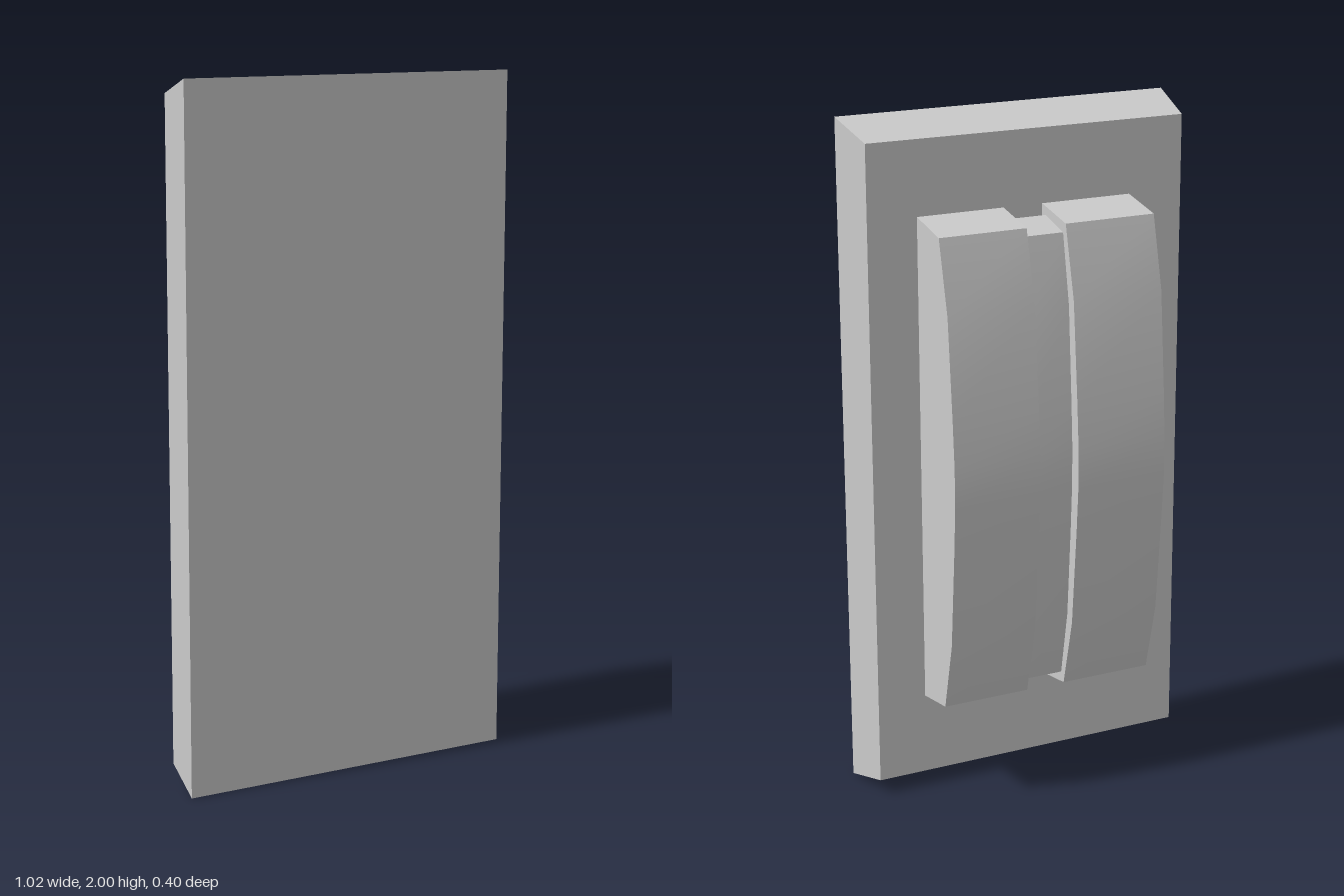
import * as THREE from 'three';
import { toCreasedNormals } from 'three/addons/utils/BufferGeometryUtils.js';

const material = new THREE.MeshStandardMaterial({ color: 0xcccccc });
const MID_Y = 1.015;

// Half of the bowed side profile: [z, height above the middle]
const HALF = [[0.035, 0.722], [-0.113, 0.695], [-0.165, 0.485], [-0.191, 0.19], [-0.2, 0.06]];

// Bowed bar between x0 and x1; scaleY shortens it, zOf remaps its depth
function bowedBar(name, x0, x1, scaleY = 1, zOf = (z) => z) {
  const upper = HALF.map(([z, h]) => new THREE.Vector2(-zOf(z), MID_Y + h * scaleY));
  const lower = HALF.map(([z, h]) => new THREE.Vector2(-zOf(z), MID_Y - h * scaleY)).reverse();
  const shape = new THREE.Shape([...upper, ...lower]);
  const geo = new THREE.ExtrudeGeometry(shape, { depth: x1 - x0, bevelEnabled: false });
  geo.rotateY(Math.PI / 2).translate(x0, 0, 0);
  const mesh = new THREE.Mesh(toCreasedNormals(geo, 0.5), material);
  mesh.name = name;
  return mesh;
}

// Flat plate whose back face is slightly smaller than its front
function taperedPlate() {
  const geo = new THREE.BoxGeometry(1.02, 2, 0.165).toNonIndexed();
  const p = geo.attributes.position;
  for (let i = 0; i < p.count; i++) {
    if (p.getZ(i) < 0) p.setXY(i, Math.sign(p.getX(i)) * 0.488, Math.sign(p.getY(i)) * 0.953);
  }
  geo.translate(0, 1, 0.1175);
  geo.computeVertexNormals();
  const mesh = new THREE.Mesh(geo, material);
  mesh.name = 'frontPlate';
  return mesh;
}

export function createModel() {
  const group = new THREE.Group();
  group.name = 'plateWithBowedGrip';
  group.add(
    taperedPlate(),
    bowedBar('rightBar', -0.32, -0.043),
    bowedBar('leftBar', 0.077, 0.34),
    // Shallower centre bar, set just clear of the plate
    bowedBar('centreBar', -0.043, 0.077, 0.96, (z) => 0.013 + (z - 0.035) * 0.74),
  );
  return group;
}
